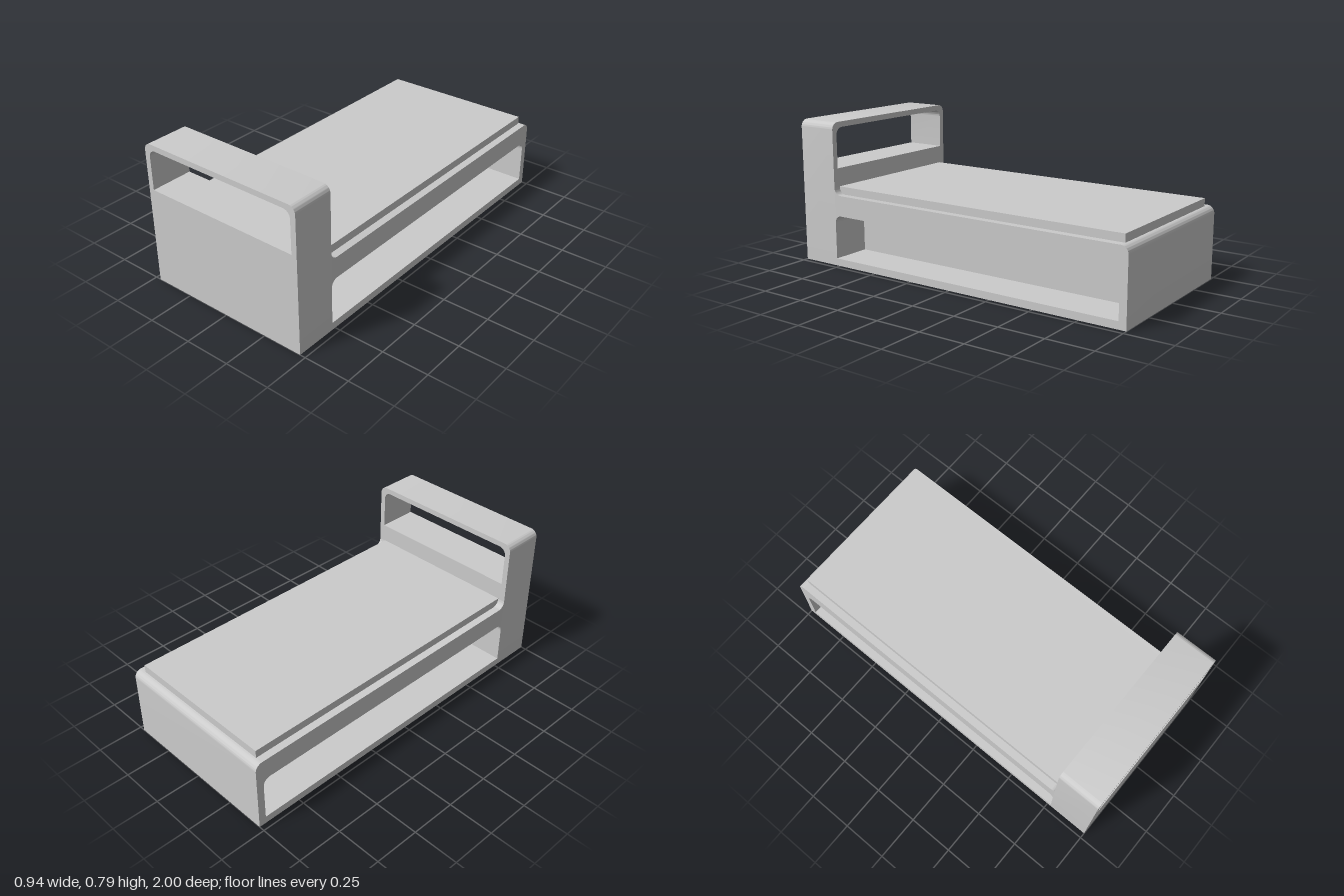
import * as THREE from 'three';
import { toCreasedNormals } from 'three/addons/utils/BufferGeometryUtils.js';

const HALF_W = 0.47, HEAD_Z = 0.77, R = 0.04;

// Rectangle with square bottom corners and rounded top corners
function archedRect(path, halfW, y0, y1, r) {
  path.moveTo(-halfW, y0);
  path.lineTo(halfW, y0);
  path.lineTo(halfW, y1 - r);
  path.absarc(halfW - r, y1 - r, r, 0, Math.PI / 2, false);
  path.lineTo(-halfW + r, y1);
  path.absarc(-halfW + r, y1 - r, r, Math.PI / 2, Math.PI, false);
  path.closePath();
  return path;
}

function extrude(shape, depth) {
  const geo = new THREE.ExtrudeGeometry(shape, { depth, bevelEnabled: false, curveSegments: 10 });
  return geo;
}

export function createModel() {
  const model = new THREE.Group();
  model.name = 'bed';
  const material = new THREE.MeshStandardMaterial({ color: 0xcccccc });

  const add = (name, geo) => {
    const mesh = new THREE.Mesh(toCreasedNormals(geo, Math.PI / 6), material);
    mesh.name = name;
    model.add(mesh);
  };
  const addBox = (name, x0, x1, y0, y1, z0, z1) => {
    const geo = new THREE.BoxGeometry(x1 - x0, y1 - y0, z1 - z0);
    geo.translate((x0 + x1) / 2, (y0 + y1) / 2, (z0 + z1) / 2);
    add(name, geo);
  };

  // Deep headboard with a window under its rounded top
  const head = archedRect(new THREE.Shape(), HALF_W, 0, 0.785, R);
  head.holes.push(archedRect(new THREE.Path(), 0.44, 0.535, 0.755, R));
  add('headboard', extrude(head, 1 - HEAD_Z).translate(0, 0, HEAD_Z));

  // Frame: side profile (u = -z) wrapping base, footboard and platform
  const u = -HEAD_Z, deck = 0.393, roof = 0.28, inner = 0.96, floor = 0.04;
  const frame = new THREE.Shape();
  frame.moveTo(u, 0);
  frame.lineTo(1, 0);
  frame.lineTo(1, deck - R);
  frame.absarc(1 - R, deck - R, R, 0, Math.PI / 2, false);
  frame.lineTo(u + R, deck);
  frame.absarc(u + R, deck + R, R, Math.PI * 1.5, Math.PI, true);
  frame.lineTo(u, roof - R);
  frame.absarc(u + R, roof - R, R, Math.PI, Math.PI / 2, true);
  frame.lineTo(inner - R, roof);
  frame.absarc(inner - R, roof - R, R, Math.PI / 2, 0, true);
  frame.lineTo(inner, floor);
  frame.lineTo(u, floor);
  frame.closePath();
  add('frame', extrude(frame, 2 * HALF_W).translate(0, 0, -HALF_W).rotateY(Math.PI / 2));

  // Core wall closing off the storage niches on both sides
  addBox('nicheCore', -0.25, 0.25, floor, roof, -inner, HEAD_Z);

  // Mattress on the platform
  addBox('mattress', -0.43, 0.43, deck, 0.435, -0.962, HEAD_Z);

  return model;
}
